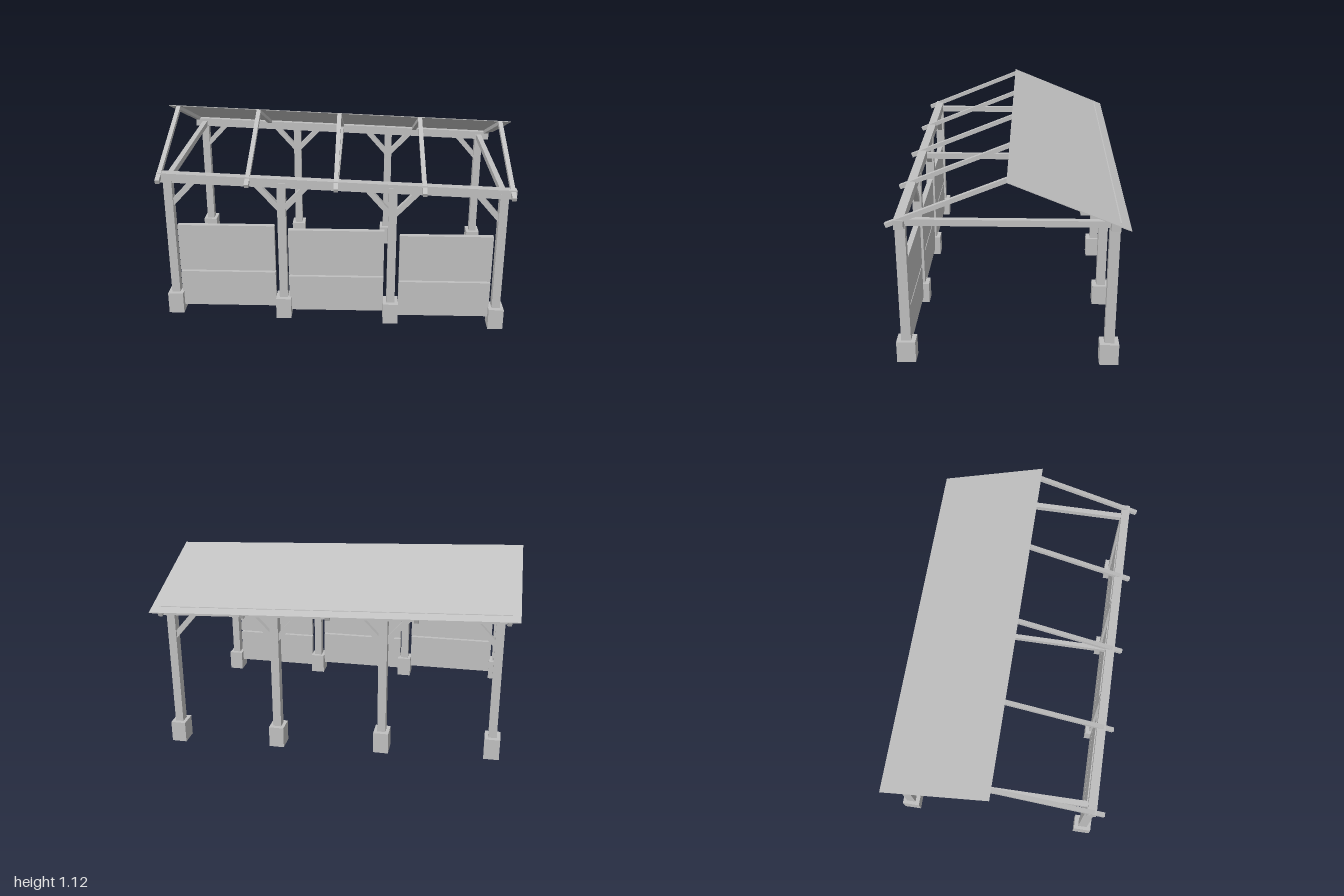
import * as THREE from 'three';

const SLOPE = 0.0405;              // the whole frame falls towards +x
const RIDGE = 1.081, DROP = 0.243, EAVE = 0.6;
const ROW_Z = 0.53;                // distance of the post rows from the centre
const POSTS = [-0.9, -0.294, 0.304, 0.893];
const RAFTERS = [-0.943, -0.472, 0, 0.47, 0.937];
const fall = (x) => -SLOPE * x;

export function createModel() {
  const grey = new THREE.MeshStandardMaterial({ color: 0xc0c0c0 });
  grey.name = 'plainGrey';
  const model = new THREE.Group();
  model.name = 'openShelter';

  const add = (name, geometry, x = 0, y = 0, z = 0) => {
    const mesh = new THREE.Mesh(geometry, grey);
    mesh.name = name;
    mesh.position.set(x, y, z);
    model.add(mesh);
    return mesh;
  };
  const box = (name, w, h, d, x, y, z) => add(name, new THREE.BoxGeometry(w, h, d), x, y, z);

  // A timber in the xy plane, running from one point to another
  const timber = (name, x1, y1, x2, y2, h, d, z) => {
    const mesh = box(name, Math.hypot(x2 - x1, y2 - y1), h, d, (x1 + x2) / 2, (y1 + y2) / 2, z);
    mesh.rotation.z = Math.atan2(y2 - y1, x2 - x1);
  };

  for (const z of [ROW_Z, -ROW_Z]) {
    // Footings, posts and knee braces
    POSTS.forEach((x, i) => {
      const y = fall(x);
      box('footing', 0.084, 0.12, 0.1, x, 0.096 + y, z);
      const bottom = 0.15 + y, top = 0.84 + y;
      box('post', 0.046, top - bottom, 0.052, x, (bottom + top) / 2, z);
      for (const side of [-1, 1]) {
        if ((i === 0 && side < 0) || (i === POSTS.length - 1 && side > 0)) continue;
        const xe = x + side * 0.142;
        timber('kneeBrace', x + side * 0.012, 0.685 + y, xe, 0.828 + fall(xe), 0.03, 0.03, z);
      }
    });
    // Sloping wall plate on top of the posts
    timber('wallPlate', -0.957, 0.836 + fall(-0.957), 0.957, 0.836 + fall(0.957), 0.05, 0.048, z);
  }

  // Tie beams across the ends and the middle
  for (const [x, w] of [[POSTS[0], 0.03], [0, 0.024], [POSTS[3], 0.03]]) {
    box('tieBeam', w, 0.034, 2 * ROW_Z, x, 0.826 + fall(x), 0);
  }

  // Rafter pairs, cut as one chevron profile
  const chevron = new THREE.Shape([
    [0, 0], [EAVE, -DROP], [EAVE - 0.009, -DROP - 0.022], [0, -0.025],
    [0.009 - EAVE, -DROP - 0.022], [-EAVE, -DROP],
  ].map(([a, b]) => new THREE.Vector2(a, b)));
  for (const x of RAFTERS) {
    const geometry = new THREE.ExtrudeGeometry(chevron, { depth: 0.024, bevelEnabled: false });
    geometry.translate(0, 0, -0.012).rotateY(Math.PI / 2);
    add('rafterPair', geometry, x, RIDGE + fall(x), 0);
  }

  // Thin roof sheet over the back half, sheared to both slopes
  const sheet = new THREE.BoxGeometry(2, 0.004, EAVE);
  sheet.translate(0, 0, -EAVE / 2);
  const p = sheet.attributes.position;
  for (let i = 0; i < p.count; i++) {
    p.setY(i, p.getY(i) + RIDGE + fall(p.getX(i)) + (DROP / EAVE) * p.getZ(i));
  }
  sheet.computeVertexNormals();
  add('roofSheet', sheet);

  // Two stacked wall panels in each front bay, stepping down with the slope
  const bays = [[-0.866, -0.337, 0], [-0.263, 0.262, -0.023], [0.347, 0.855, -0.048]];
  for (const [x1, x2, step] of bays) {
    for (const [name, bottom, top] of [['lowerPanel', 0.108, 0.317], ['upperPanel', 0.327, 0.597]]) {
      box(name, x2 - x1, top - bottom, 0.03, (x1 + x2) / 2, (bottom + top) / 2 + step, ROW_Z);
    }
  }

  return model;
}
